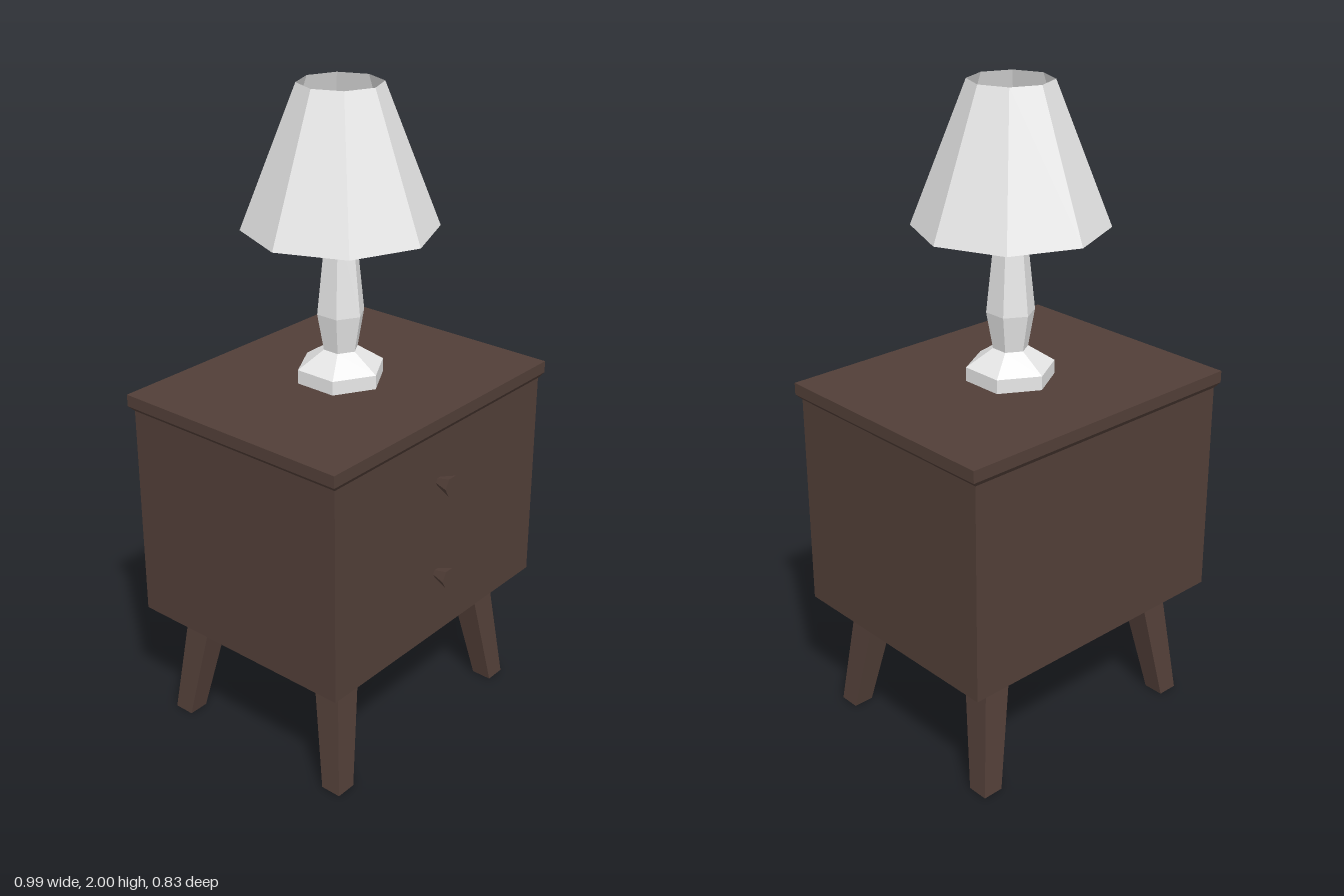
import * as THREE from 'three';

const wood = new THREE.MeshStandardMaterial({ color: 0x523f38, flatShading: true });
wood.name = 'dark wood';
const white = new THREE.MeshStandardMaterial({ color: 0xe7e7e7, flatShading: true, side: THREE.DoubleSide });
white.name = 'lamp white';

const CZ = -0.017; // depth centre of the cabinet and lamp

function add(group, name, geometry, material) {
  const mesh = new THREE.Mesh(geometry, material);
  mesh.name = name;
  group.add(mesh);
  return mesh;
}

// Box whose ends differ: each end is { x, z, y, hx, hz } (centre, height, half sizes)
function taperedBox(bottom, top) {
  const g = new THREE.BoxGeometry(2, 2, 2);
  const p = g.attributes.position;
  for (let i = 0; i < p.count; i++) {
    const e = p.getY(i) > 0 ? top : bottom;
    p.setXYZ(i, e.x + p.getX(i) * e.hx, e.y, e.z + p.getZ(i) * e.hz);
  }
  g.computeVertexNormals();
  return g;
}

function lathe(profile, sides) {
  return new THREE.LatheGeometry(profile.map(([r, y]) => new THREE.Vector2(r, y)), sides);
}

export function createModel() {
  const model = new THREE.Group();
  model.name = 'nightstandWithLamp';

  // Cabinet
  const cabinet = new THREE.Group();
  cabinet.name = 'cabinet';
  model.add(cabinet);
  add(cabinet, 'body', new THREE.BoxGeometry(0.96, 0.69, 0.768), wood).position.set(0, 0.735, CZ);

  // Table top with a bevelled underside
  add(cabinet, 'tableTop', new THREE.BoxGeometry(0.992, 0.037, 0.792), wood).position.set(0, 1.1015, CZ);
  add(cabinet, 'tableTopBevel', taperedBox(
    { x: 0, z: CZ, y: 1.067, hx: 0.481, hz: 0.385 },
    { x: 0, z: CZ, y: 1.083, hx: 0.496, hz: 0.396 }), wood);

  // Splayed, tapered legs
  for (const sx of [-1, 1]) {
    for (const sz of [-1, 1]) {
      add(cabinet, (sz > 0 ? 'front' : 'back') + (sx > 0 ? 'Left' : 'Right') + 'Leg', taperedBox(
        { x: sx * 0.387, z: CZ + sz * 0.312, y: 0, hx: 0.033, hz: 0.033 },
        { x: sx * 0.328, z: CZ + sz * 0.256, y: 0.392, hx: 0.047, hz: 0.047 }), wood);
    }
  }

  // Flared six-sided knobs
  for (const [name, y] of [['upperKnob', 0.91], ['lowerKnob', 0.603]]) {
    const g = new THREE.CylinderGeometry(0.032, 0.013, 0.05, 6);
    g.rotateY(Math.PI / 6).rotateX(Math.PI / 2);
    add(cabinet, name, g, wood).position.set(-0.02, y, 0.39);
  }

  // Lamp
  const lamp = new THREE.Group();
  lamp.name = 'lamp';
  lamp.position.set(0, 0, -0.019);
  model.add(lamp);
  add(lamp, 'lampStand', lathe([
    [0, 1.12], [0.134, 1.12], [0.134, 1.163], [0.053, 1.217],
    [0.073, 1.33], [0.044, 1.6], [0, 1.6],
  ], 6), white);
  add(lamp, 'lampShade', lathe([[0.287, 1.585], [0.123, 2]], 8), white);

  return model;
}
